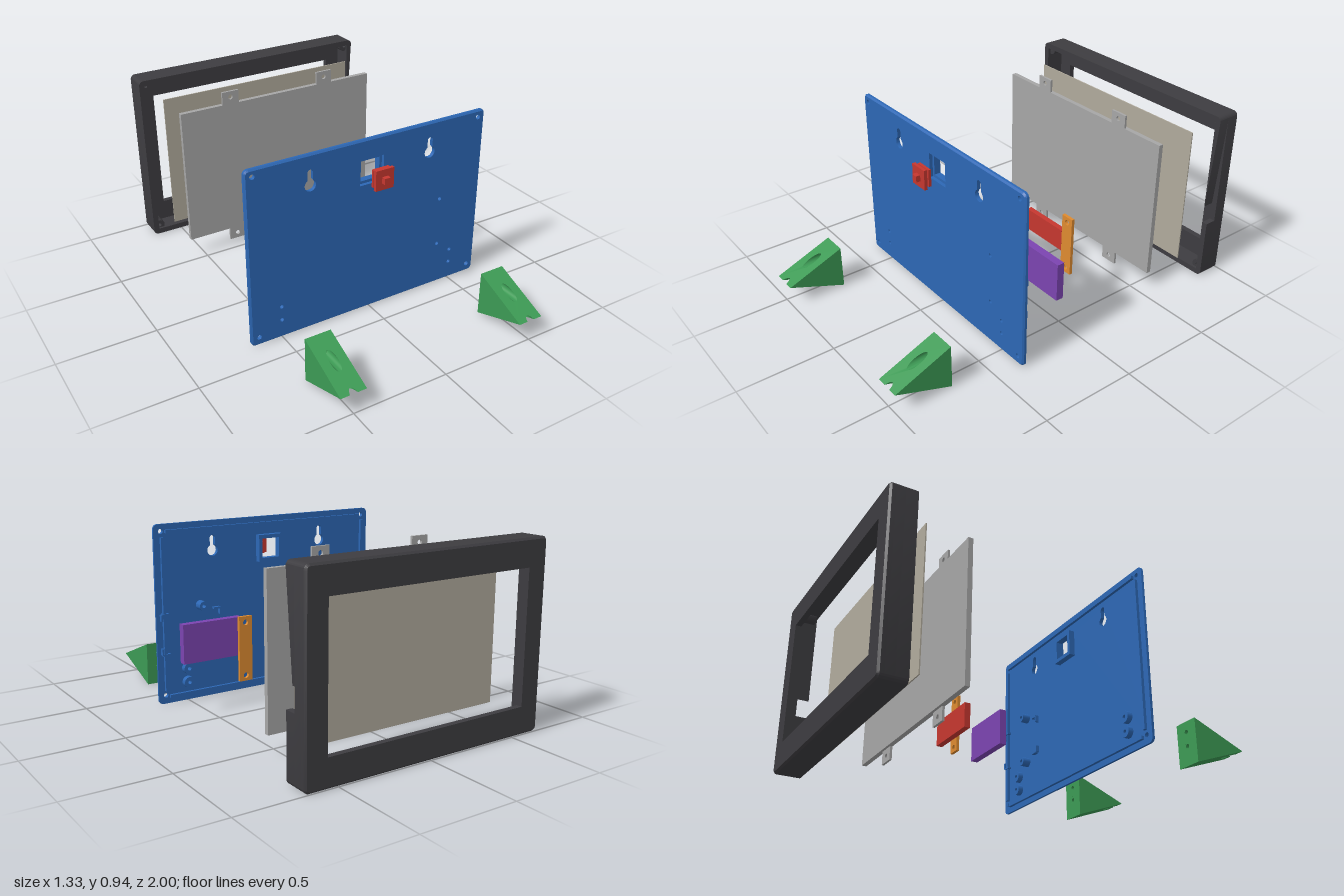
import * as THREE from 'three';
import { toCreasedNormals } from 'three/addons/utils/BufferGeometryUtils.js';

const COLORS = {
  blue: 0x2c67b4, green: 0x3c9a54, red: 0xc5372f, purple: 0x7b44b0,
  orange: 0xdd8a30, dark: 0x3d3c40, panel: 0xa6a6a6, sheet: 0xb0aa9c,
};
const mats = {};
for (const k in COLORS) mats[k] = new THREE.MeshStandardMaterial({ color: COLORS[k] });

// Case outline: half width, half height, centre height, corner radius
const W = 0.665, H = 0.468, CY = 0.468, R = 0.025;
const WALL = 0.03;
const SCREWS = [[-0.625, 0.9], [0.625, 0.9], [-0.625, 0.045], [0.625, 0.045]];
const BOARD_HOLES = [[0.415, 0.5], [0.415, 0.237]];
const FOOT_HOLES = [0.1, 0.175];

function roundRect() {
  const s = new THREE.Shape(), w = W - R, h = H - R;
  s.absarc(w, CY + h, R, 0, Math.PI / 2);
  s.absarc(-w, CY + h, R, Math.PI / 2, Math.PI);
  s.absarc(-w, CY - h, R, Math.PI, Math.PI * 1.5);
  s.absarc(w, CY - h, R, Math.PI * 1.5, Math.PI * 2);
  s.closePath();
  return s;
}
function poly(points) {
  return new THREE.Shape(points.map(([x, y]) => new THREE.Vector2(x, y)));
}
function rect(x0, x1, y0, y1) {
  return poly([[x0, y0], [x1, y0], [x1, y1], [x0, y1]]);
}
function circle(x, y, r) {
  return new THREE.Shape().absarc(x, y, r, 0, Math.PI * 2);
}
function keyhole(x) {
  const s = new THREE.Shape(), a = Math.PI / 6;
  s.absarc(x, 0.78, 0.03, Math.PI / 2 + a, Math.PI / 2 - a + Math.PI * 2);
  s.absarc(x, 0.845, 0.015, 0, Math.PI);
  s.closePath();
  return s;
}

// Extrude a shape between two z positions; an optional rule moves the vertices
function slab(name, color, shape, z0, z1, holes = [], rule = null) {
  shape.holes.push(...holes);
  const geo = new THREE.ExtrudeGeometry(shape, { depth: z1 - z0, bevelEnabled: false, curveSegments: 12 });
  geo.translate(0, 0, z0);
  if (rule) {
    const p = geo.attributes.position, v = new THREE.Vector3();
    for (let i = 0; i < p.count; i++) {
      rule(v.fromBufferAttribute(p, i));
      p.setXYZ(i, v.x, v.y, v.z);
    }
  }
  const mesh = new THREE.Mesh(toCreasedNormals(geo, 0.5), mats[color]);
  mesh.name = name;
  return mesh;
}
function box(name, color, x0, x1, y0, y1, z0, z1) {
  const mesh = new THREE.Mesh(new THREE.BoxGeometry(x1 - x0, y1 - y0, z1 - z0), mats[color]);
  mesh.position.set((x0 + x1) / 2, (y0 + y1) / 2, (z0 + z1) / 2);
  mesh.name = name;
  return mesh;
}
const ring = (name, color, x, y, ro, ri, z0, z1) =>
  slab(name, color, circle(x, y, ro), z0, z1, [circle(x, y, ri)]);

// Pull the outer outline inwards at one z, giving a chamfered edge
const chamfer = (z, c) => (v) => {
  if (Math.abs(v.z - z) > 1e-4) return;
  const dx = Math.max(Math.abs(v.x) - (W - R), 0), dy = Math.max(Math.abs(v.y - CY) - (H - R), 0);
  const d = Math.hypot(dx, dy);
  if (d < R - 1e-3) return;
  v.x -= Math.sign(v.x) * c * dx / d;
  v.y -= Math.sign(v.y - CY) * c * dy / d;
};

function group(name, ...children) {
  const g = new THREE.Group();
  g.name = name;
  g.add(...children);
  return g;
}

function backPlate() {
  const holes = () => [
    ...SCREWS.map(([x, y]) => circle(x, y, 0.013)),
    ...BOARD_HOLES.map(([x, y]) => circle(x, y, 0.01)),
    ...[-0.5, 0.5].flatMap((x) => FOOT_HOLES.map((y) => circle(x, y, 0.01))),
    keyhole(-0.335), keyhole(0.335),
    rect(-0.066, 0.066, 0.702, 0.834),
  ];
  const g = group('backPlate',
    slab('plate', 'blue', roundRect(), 0.345, 0.357, holes()),
    slab('plateFrontEdge', 'blue', roundRect(), 0.357, 0.365, holes(), chamfer(0.365, 0.008)),
    slab('buttonFrame', 'blue', rect(-0.072, 0.072, 0.696, 0.84), 0.312, 0.347,
      [rect(-0.052, 0.052, 0.716, 0.82)]));
  // Locating lip, left open at the corners
  for (const y of [0.03, 0.89]) g.add(box('lip', 'blue', -0.605, 0.605, y, y + 0.016, 0.33, 0.346));
  for (const s of [-1, 1]) g.add(box('lip', 'blue', s * 0.623 - 0.008, s * 0.623 + 0.008, 0.07, 0.87, 0.33, 0.346));
  // Stand-offs and screw bosses
  for (const [x, y] of BOARD_HOLES) g.add(ring('standoff', 'blue', x, y, 0.025, 0.01, 0.3, 0.346));
  for (const x of [-0.5, 0.5]) for (const y of FOOT_HOLES) g.add(ring('footBoss', 'blue', x, y, 0.03, 0.01, 0.317, 0.346));
  // Corner brackets that locate the battery
  for (const sx of [-1, 1]) for (const sy of [-1, 1]) {
    const x = 0.4725 + sx * 0.168, y = 0.37 + sy * 0.106, x1 = x - sx * 0.04, y1 = y - sy * 0.035;
    const t = 0.005;
    g.add(box('bracket', 'blue', Math.min(x, x1), Math.max(x, x1), y - t, y + t, 0.325, 0.346));
    g.add(box('bracket', 'blue', x - t, x + t, Math.min(y, y1), Math.max(y, y1), 0.325, 0.346));
  }
  return g;
}

function foot(x) {
  const w = 0.067, r = 0.022, ridge = 0.11, a = Math.asin((ridge - FOOT_HOLES[0]) / r), c = r * Math.cos(a);
  const slope = (v) => {
    if (v.z > 0.8) v.z = 0.7 + 0.3 * Math.max(0, Math.min((0.23 - v.y) / 0.12, v.y / ridge));
  };
  // Upper and lower halves meet at the ridge, which the lower bore cuts
  const upper = new THREE.Shape();
  upper.moveTo(-w, ridge).lineTo(-c, ridge);
  upper.absarc(0, FOOT_HOLES[0], r, Math.PI - a, a, true);
  upper.lineTo(w, ridge).lineTo(w, 0.23).lineTo(-w, 0.23);
  const lower = new THREE.Shape();
  lower.moveTo(-w, 0).lineTo(w, 0).lineTo(w, ridge).lineTo(c, ridge);
  lower.absarc(0, FOOT_HOLES[0], r, a, Math.PI - a, true);
  lower.lineTo(-w, ridge);
  const g = group('foot',
    slab('footTop', 'green', upper, 0.7, 1, [circle(0, FOOT_HOLES[1], r)], slope),
    slab('footBottom', 'green', lower, 0.7, 1, [], slope),
    // Counterbore floors with the smaller screw holes
    ...FOOT_HOLES.map((y) => ring('screwSeat', 'green', 0, y, r, 0.012, 0.7, 0.75)));
  g.position.x = x;
  return g;
}

function bezel() {
  const iw = W - WALL, y0 = WALL, y1 = 2 * H - WALL, n0 = 0.325, n1 = 0.42;
  const inner = () => rect(-iw, iw, y0, y1);
  const opening = () => rect(-0.555, 0.555, 0.14, 0.8);
  // Front part of the wall, open at the cable notch
  const notched = new THREE.Shape(), w = W - R, h = H - R;
  notched.moveTo(W, n1);
  notched.absarc(w, CY + h, R, 0, Math.PI / 2);
  notched.absarc(-w, CY + h, R, Math.PI / 2, Math.PI);
  notched.absarc(-w, CY - h, R, Math.PI, Math.PI * 1.5);
  notched.absarc(w, CY - h, R, Math.PI * 1.5, Math.PI * 2);
  for (const [x, y] of [[W, n0], [iw, n0], [iw, y0], [-iw, y0], [-iw, y1], [iw, y1], [iw, n1]]) notched.lineTo(x, y);
  return group('bezel',
    slab('notchedWall', 'dark', notched, -0.925, -0.865),
    slab('wall', 'dark', roundRect(), -0.97, -0.925, [inner()]),
    slab('face', 'dark', roundRect(), -0.99, -0.97, [opening()]),
    slab('faceEdge', 'dark', roundRect(), -1, -0.99, [opening()], chamfer(-1, 0.01)),
    ...SCREWS.map(([x, y]) => ring('screwPost', 'dark', x, y, 0.03, 0.01, -0.972, -0.88)));
}

function displayPanel() {
  const g = group('displayPanel', box('panel', 'panel', -0.57, 0.57, 0.1, 0.845, -0.57, -0.545));
  // Screw tabs above and below
  for (const x of [-0.287, 0.283]) for (const [a, b, y] of [[0.03, 0.1, 0.062], [0.845, 0.915, 0.883]]) {
    g.add(slab('tab', 'panel', rect(x - 0.047, x + 0.047, a, b), -0.557, -0.545, [circle(x, y, 0.013)]));
  }
  return g;
}

export function createModel() {
  const by = 0.768;
  return group('explodedDisplayCase',
    foot(-0.5), foot(0.5),
    group('button',
      box('buttonStem', 'red', -0.016, 0.016, by - 0.016, by + 0.016, 0.412, 0.495),
      box('buttonPlate', 'red', -0.05, 0.05, by - 0.052, by + 0.052, 0.455, 0.472),
      box('buttonBase', 'red', -0.045, 0.045, by - 0.045, by + 0.045, 0.43, 0.444)),
    backPlate(),
    box('battery', 'purple', 0.31, 0.635, 0.27, 0.47, 0.103, 0.142),
    slab('sensorBoard', 'orange', rect(0.38, 0.45, 0.21, 0.53), -0.122, -0.106,
      BOARD_HOLES.map(([x, y]) => circle(x, y, 0.014))),
    box('controlBoard', 'red', -0.148, 0.145, 0.11, 0.235, -0.35, -0.32),
    displayPanel(),
    box('screenSheet', 'sheet', -0.57, 0.57, 0.1, 0.845, -0.784, -0.778),
    bezel());
}
